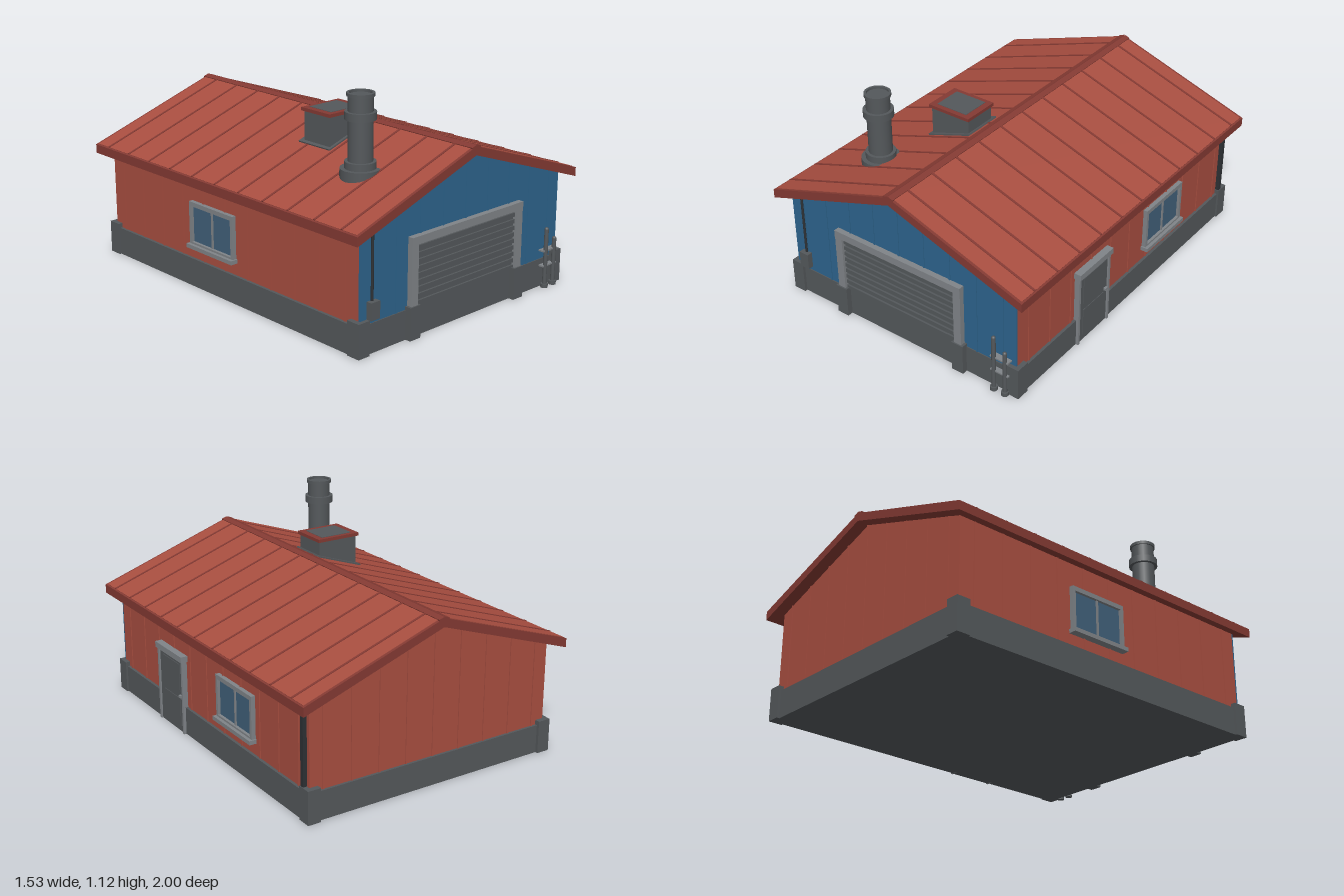
import * as THREE from 'three';

const mat = (name, color, extra = {}) => {
  const m = new THREE.MeshStandardMaterial({ color, ...extra });
  m.name = name;
  return m;
};

export function createModel() {
  const red = mat('red cladding', 0xa84e40);
  const trim = mat('dark red trim', 0x843a33);
  const blue = mat('blue cladding', 0x2d648d);
  const dark = mat('dark grey', 0x54585b);
  const mid = mat('mid grey', 0x808488);
  const glass = mat('window glass', 0x41607a);
  const black = mat('charcoal pipe', 0x2d3135);

  const model = new THREE.Group();
  model.name = 'workshop';

  const add = (name, geo, material, parent = model) => {
    const m = new THREE.Mesh(geo, material);
    m.name = name;
    parent.add(m);
    return m;
  };
  // Box given by its minimum and maximum on each axis
  const box = (name, x0, x1, y0, y1, z0, z1, material, parent) => {
    const m = add(name, new THREE.BoxGeometry(Math.abs(x1 - x0), y1 - y0, Math.abs(z1 - z0)), material, parent);
    m.position.set((x0 + x1) / 2, (y0 + y1) / 2, (z0 + z1) / 2);
    return m;
  };
  const rod = (name, x, y0, y1, z, r, material, parent) => {
    const m = add(name, new THREE.CylinderGeometry(r, r, y1 - y0, 12), material, parent);
    m.position.set(x, (y0 + y1) / 2, z);
    return m;
  };
  // Outline in the front plane, extruded from z0 to z1
  const prism = (name, pts, z0, z1, material) => {
    const shape = new THREE.Shape(pts.map(([x, y]) => new THREE.Vector2(x, y)));
    const geo = new THREE.ExtrudeGeometry(shape, { depth: z1 - z0, bevelEnabled: false });
    add(name, geo, material).position.z = z0;
  };

  const slope = 0.34, pitch = Math.atan(slope);
  const soffit = x => 0.82 - slope * Math.abs(x);

  // Foundation with corner blocks
  box('foundation', -0.71, 0.71, 0, 0.148, -0.95, 0.95, dark);
  for (const sx of [-1, 1]) for (const sz of [-1, 1])
    box('cornerBlock', sx * 0.65, sx * 0.72, 0, 0.172, sz * 0.89, sz * 0.965, dark);

  // Gabled walls, blue on the front
  const w = 0.695;
  const gable = [[-w, 0.14], [w, 0.14], [w, soffit(w) + 0.01], [0, 0.83], [-w, soffit(w) + 0.01]];
  prism('walls', gable, -0.937, 0.937, red);
  prism('frontWall', gable, 0.937, 0.945, blue);

  // Upright battens on the walls
  for (let i = -4; i <= 4; i++) {
    const x = i * 0.155, top = soffit(Math.abs(x) + 0.004) + 0.002;
    box('backBatten', x - 0.004, x + 0.004, 0.148, top, -0.942, -0.936, red);
    const y0 = Math.abs(x) < 0.39 ? 0.49 : 0.148;
    box('frontBatten', x - 0.004, x + 0.004, y0, top, 0.944, 0.949, blue);
  }
  for (const s of [-1, 1]) for (let i = -5; i <= 5; i++) {
    const z = i * 0.17;
    box('sideBatten', s * 0.694, s * 0.7, 0.148, soffit(0.7), z - 0.004, z + 0.004, red);
  }

  // Roof slab with panels, standing seams and ridge cap
  prism('roofSlab', [[-0.765, 0.558], [0, 0.82], [0.765, 0.558], [0.765, 0.605], [0, 0.864], [-0.765, 0.605]], -1, 1, trim);
  for (const s of [-1, 1]) {
    const side = new THREE.Group();
    side.name = s > 0 ? 'leftRoof' : 'rightRoof';
    side.position.y = 0.864;
    side.rotation.z = -s * pitch;
    model.add(side);
    box('roofPanel', 0, s * 0.798, -0.01, 0.003, -0.987, 0.987, red, side);
    for (let i = -5; i <= 5; i++)
      box('roofSeam', s * 0.02, s * 0.798, 0, 0.006, i * 0.178 - 0.006, i * 0.178 + 0.006, trim, side);
    box('ridgeCap', 0, s * 0.03, -0.005, 0.007, -1, 1, trim, side);
  }

  // Garage door with slats, frame and kerb blocks
  const garage = new THREE.Group();
  garage.name = 'garageDoor';
  model.add(garage);
  box('doorBacking', -0.35, 0.35, 0.14, 0.47, 0.94, 0.95, dark, garage);
  for (let i = 0; i < 9; i++) {
    const y = 0.157 + i * 0.034;
    box('slat', -0.347, 0.347, y, y + 0.021, 0.948, 0.96, dark, garage);
  }
  for (const s of [-1, 1]) {
    box('doorJamb', s * 0.347, s * 0.39, 0.15, 0.465, 0.94, 0.973, mid, garage);
    box('kerbBlock', s * 0.335, s * 0.403, 0, 0.165, 0.94, 0.98, dark, garage);
  }
  box('doorHeader', -0.39, 0.39, 0.463, 0.502, 0.94, 0.975, mid, garage);

  // Side door
  const door = new THREE.Group();
  door.name = 'sideDoor';
  model.add(door);
  box('doorLeaf', 0.69, 0.715, 0, 0.405, 0.218, 0.468, dark, door);
  for (const y of [0.03, 0.22])
    box('doorPanel', 0.71, 0.718, y, y + 0.155, 0.255, 0.43, dark, door);
  for (const z of [0.211, 0.465])
    box('doorPost', 0.69, 0.724, 0, 0.405, z, z + 0.014, mid, door);
  box('doorLintel', 0.69, 0.733, 0.4, 0.432, 0.202, 0.485, mid, door);
  box('doorHandle', 0.715, 0.728, 0.195, 0.208, 0.232, 0.252, mid, door);

  // One window on each side wall
  for (const [s, zc] of [[1, -0.3], [-1, -0.09]]) {
    const win = new THREE.Group();
    win.name = 'window';
    model.add(win);
    const a = s * 0.69, b = s * 0.718;
    box('glass', a, s * 0.703, 0.235, 0.44, zc - 0.16, zc + 0.16, glass, win);
    box('windowHead', a, b, 0.432, 0.455, zc - 0.17, zc + 0.17, mid, win);
    box('windowFoot', a, b, 0.23, 0.243, zc - 0.17, zc + 0.17, mid, win);
    for (const k of [-1, 1])
      box('windowJamb', a, b, 0.235, 0.44, zc + k * 0.153, zc + k * 0.17, mid, win);
    box('mullion', a, s * 0.71, 0.235, 0.44, zc - 0.005, zc + 0.005, mid, win);
    box('sill', a, s * 0.735, 0.212, 0.233, zc - 0.178, zc + 0.178, mid, win);
  }

  // Chimney turned as one profile with a recessed mouth
  const flue = [[0.098, 0.66], [0.098, 0.756], [0.076, 0.756], [0.076, 0.79], [0.06, 0.79], [0.06, 0.99],
    [0.076, 0.99], [0.076, 1.028], [0.06, 1.028], [0.06, 1.1], [0.067, 1.1], [0.067, 1.117],
    [0.055, 1.117], [0.055, 1.105], [0, 1.105]];
  const chimney = new THREE.Group();
  chimney.name = 'chimney';
  chimney.position.set(-0.38, 0, 0.62);
  model.add(chimney);
  for (let i = 1; i < flue.length; i++) {
    const pts = [flue[i - 1], flue[i]].map(([r, y]) => new THREE.Vector2(r, y));
    add('chimneyRing', new THREE.LatheGeometry(pts, 24), dark, chimney);
  }

  // Roof vent with flashing and framed cap
  const vent = new THREE.Group();
  vent.name = 'roofVent';
  model.add(vent);
  box('ventBox', -0.295, -0.065, 0.74, 0.925, 0.137, 0.32, dark, vent);
  box('ventCap', -0.306, -0.056, 0.924, 0.941, 0.127, 0.331, trim, vent);
  box('ventPlate', -0.272, -0.09, 0.938, 0.943, 0.15, 0.305, dark, vent);
  const flashing = box('flashing', -0.317, -0.043, 0.8, 0.816, 0.113, 0.335, dark, vent);
  flashing.position.y = 0.866 - slope * 0.18;
  flashing.rotation.z = pitch;

  // Meter box with conduit, and the rear drainpipe
  box('meterBox', -0.652, -0.596, 0.172, 0.258, 0.94, 0.975, dark);
  rod('conduit', -0.624, 0.25, soffit(0.624) + 0.01, 0.951, 0.007, black);
  box('drainpipe', 0.69, 0.716, 0.15, soffit(0.7), -0.917, -0.895, black);

  // Pair of standpipes with brackets
  const pipes = new THREE.Group();
  pipes.name = 'standpipes';
  model.add(pipes);
  for (const [x, h] of [[0.585, 0.31], [0.65, 0.247]]) {
    rod('standpipe', x, 0, h, 0.975, 0.011, dark, pipes);
    add('pipeTop', new THREE.SphereGeometry(0.011, 12, 8), dark, pipes).position.set(x, h, 0.975);
    rod('pipeFoot', x, 0, 0.02, 0.975, 0.019, dark, pipes);
  }
  for (const y of [0.115, 0.195])
    box('bracket', 0.565, 0.67, y - 0.004, y + 0.004, 0.945, 0.978, mid, pipes);

  return model;
}
